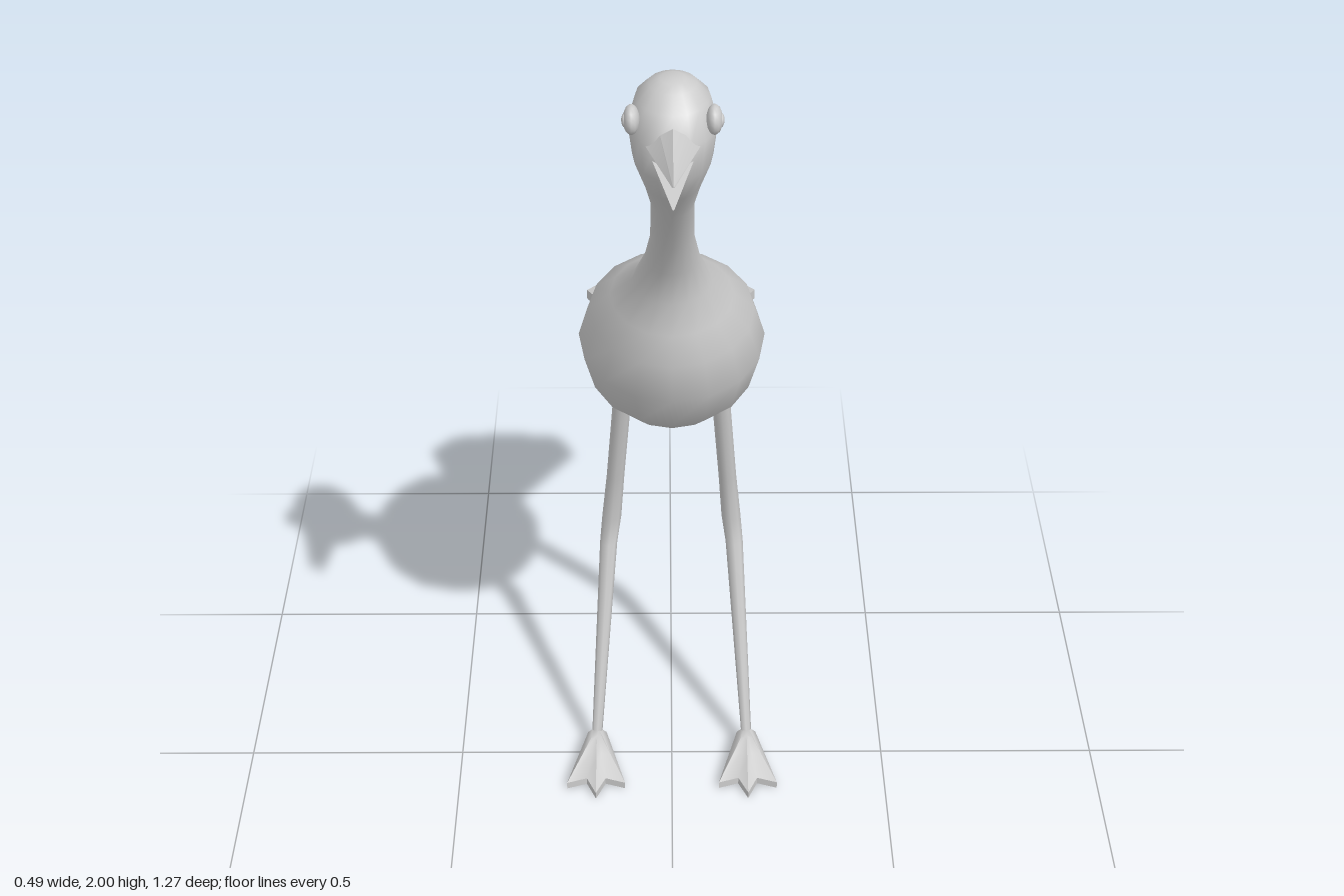
import * as THREE from 'three';
import { toCreasedNormals } from 'three/addons/utils/BufferGeometryUtils.js';

const grey = new THREE.MeshStandardMaterial({ color: 0xcccccc });
grey.name = 'plain grey';

// Skin through rings of [x, y, z] points, closed at both ends
function loft(rings, crease = 0) {
  const n = rings[0].length, pos = rings.flat(2), index = [];
  for (let i = 0; i < rings.length - 1; i++) {
    for (let j = 0; j < n; j++) {
      const a = i * n + j, b = i * n + (j + 1) % n;
      index.push(a, b, b + n, a, b + n, a + n);
    }
  }
  [0, rings.length - 1].forEach((r, end) => {
    const centre = pos.length / 3;
    for (let k = 0; k < 3; k++) pos.push(rings[r].reduce((s, p) => s + p[k], 0) / n);
    for (let j = 0; j < n; j++) {
      const a = r * n + j, b = r * n + (j + 1) % n;
      if (end) index.push(centre, a, b);
      else index.push(centre, b, a);
    }
  });
  const g = new THREE.BufferGeometry();
  g.setAttribute('position', new THREE.Float32BufferAttribute(pos, 3));
  g.setIndex(index);
  g.computeVertexNormals();
  return crease ? toCreasedNormals(g, crease) : g;
}

// Horizontal oval between two depths
function oval(y, front, back, halfWidth, x = 0, n = 16) {
  return Array.from({ length: n }, (_, j) => {
    const a = (j / n) * Math.PI * 2;
    return [x + halfWidth * Math.sin(a), y, (front + back) / 2 + ((front - back) / 2) * Math.cos(a)];
  });
}

export function createModel() {
  const model = new THREE.Group();
  const add = (name, geometry, parent = model) => {
    const mesh = new THREE.Mesh(geometry, grey);
    mesh.name = name;
    parent.add(mesh);
    return mesh;
  };

  // Body, neck and head: height, front, back, half width
  add('bodyNeckAndHead', loft([
    [0.94, -0.085, -0.21, 0.065], [0.99, 0.035, -0.27, 0.125], [1.075, 0.14, -0.30, 0.175],
    [1.18, 0.205, -0.29, 0.195], [1.275, 0.22, -0.22, 0.17], [1.345, 0.213, -0.10, 0.125],
    [1.415, 0.205, 0.02, 0.08], [1.5, 0.23, 0.105, 0.055], [1.59, 0.28, 0.18, 0.042],
    [1.70, 0.35, 0.24, 0.04], [1.785, 0.43, 0.285, 0.053], [1.855, 0.488, 0.283, 0.072],
    [1.92, 0.49, 0.283, 0.08], [1.965, 0.455, 0.298, 0.066], [1.99, 0.425, 0.33, 0.043],
    [2.0, 0.405, 0.355, 0.022],
  ].map((r) => oval(...r))));

  // Open beak, each half tapering to a point
  const beak = (name, section, base, tip, tipY) => add(name, loft([
    section.map(([x, y]) => [x, y, base]),
    section.map(([x, y]) => [x * 0.04, tipY + (y - section[0][1]) * 0.1, tip]),
  ], 0.6));
  beak('upperBeak', [[0.052, 1.912], [0.025, 1.938], [0, 1.95], [-0.025, 1.938], [-0.052, 1.912], [0, 1.908]], 0.45, 0.635, 1.93);
  beak('lowerBeak', [[0.042, 1.892], [0, 1.892], [-0.042, 1.892], [0, 1.868]], 0.45, 0.615, 1.876);

  // Tail: a thin sloping fan
  const fan = [[0.06, -0.22], [0.195, -0.53], [0.15, -0.61], [0, -0.635],
    [-0.15, -0.61], [-0.195, -0.53], [-0.06, -0.22]];
  const tailLayer = (lift) => fan.map(([x, z]) => [x, 1.03 + (z + 0.27) * 0.27 + lift, z]);
  add('tail', loft([tailLayer(-0.012), tailLayer(0.012)], 0.6));

  const footOutline = [[0, 0.153], [0.022, 0.105], [0.068, 0.12], [0.022, -0.032],
    [-0.022, -0.032], [-0.068, 0.12], [-0.022, 0.105]];

  for (const side of [1, -1]) {
    const prefix = side > 0 ? 'left' : 'right';

    // Eye with a raised pupil
    const eye = add(prefix + 'Eye', new THREE.SphereGeometry(0.027, 12, 8));
    eye.scale.x = 0.55;
    eye.position.set(side * 0.072, 1.945, 0.428);
    const pupil = add(prefix + 'Pupil', new THREE.SphereGeometry(0.013, 10, 6));
    pupil.scale.x = 0.5;
    pupil.position.set(side * 0.083, 1.945, 0.43);

    // Leg, thicker at the backward knee: height, front, back, half width, centre
    add(prefix + 'Leg', loft([
      [0.04, -0.01, -0.036, 0.012, 0.178], [0.5, -0.165, -0.205, 0.02, 0.146],
      [0.565, -0.178, -0.222, 0.022, 0.138], [0.7, -0.158, -0.2, 0.02, 0.127],
      [0.99, -0.1, -0.143, 0.02, 0.105], [1.03, -0.095, -0.135, 0.018, 0.102],
    ].map(([y, f, b, w, x]) => oval(y, f, b, w, side * x, 8))));

    // Three-toed foot rising to the ankle
    const footLayer = (scale, height) => footOutline.map(([x, z]) =>
      [side * 0.178 + x * scale, height(z), -0.02 + (z + 0.02) * scale]);
    add(prefix + 'Foot', loft([
      footLayer(1, () => 0),
      footLayer(1, (z) => (z < 0 ? 0.035 : 0.018)),
      footLayer(0.5, (z) => (z < 0 ? 0.05 : 0.04)),
      footLayer(0.2, () => 0.054),
    ], 0.9));
  }
  return model;
}
